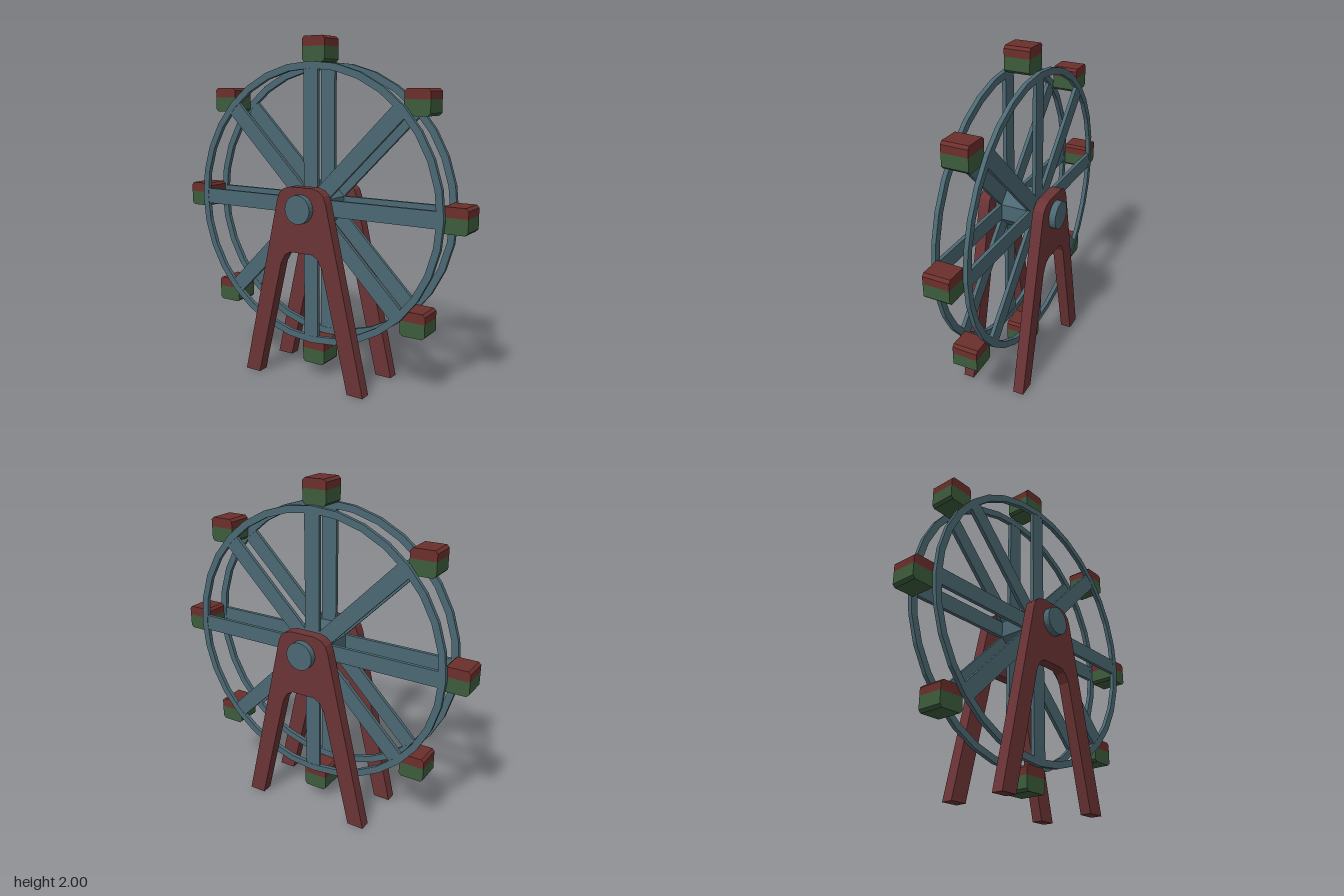
import * as THREE from 'three';

const HUB_Y = 1.038;
const mat = (color) => new THREE.MeshStandardMaterial({ color, flatShading: true });

// Extrudes a (z, y) outline along x, centred on x = 0
function slab(shape, width) {
  const g = new THREE.ExtrudeGeometry(shape, { depth: width, bevelEnabled: false, curveSegments: 16 });
  g.translate(0, 0, -width / 2);
  g.rotateY(-Math.PI / 2);
  return g;
}

// Closed shape from half an outline, mirrored about the vertical axis
function mirrored(half) {
  const other = half.map(([z, y]) => [-z, y]).reverse();
  return new THREE.Shape([...half, ...other].map(([z, y]) => new THREE.Vector2(z, y)));
}

export function createModel() {
  const steel = mat(0x4b6872), red = mat(0x6b3436), roofRed = mat(0x6b2f2b), green = mat(0x3c5c3c);
  const model = new THREE.Group();
  model.name = 'ferrisWheel';
  model.rotation.y = 0.153;

  const add = (parent, name, geometry, material, x = 0, y = 0, z = 0) => {
    const mesh = new THREE.Mesh(geometry, material);
    mesh.name = name;
    mesh.position.set(x, y, z);
    parent.add(mesh);
    return mesh;
  };

  // Rims and spokes, one set on each side
  const rimShape = new THREE.Shape().absarc(0, 0, 0.822, 0, Math.PI * 2, false);
  rimShape.holes.push(new THREE.Path().absarc(0, 0, 0.782, 0, Math.PI * 2, true));
  const rimGeo = slab(rimShape, 0.025);
  const spokeGeo = new THREE.BoxGeometry(0.022, 1.58, 0.094);
  for (const side of [-1, 1]) {
    const wheel = new THREE.Group();
    wheel.name = side > 0 ? 'leftWheel' : 'rightWheel';
    wheel.position.set(side * 0.091, HUB_Y, 0);
    add(wheel, 'rim', rimGeo, steel);
    for (let i = 0; i < 4; i++) {
      add(wheel, 'spokePair', spokeGeo, steel).rotation.x = (i * Math.PI) / 4;
    }
    model.add(wheel);
  }

  // Hub between the rims, and the axle through the supports
  const hubGeo = new THREE.CylinderGeometry(0.124, 0.124, 0.18, 8);
  hubGeo.rotateY(Math.PI / 8);
  hubGeo.rotateZ(Math.PI / 2);
  add(model, 'hub', hubGeo, steel, 0, HUB_Y);
  const axleGeo = new THREE.CylinderGeometry(0.083, 0.083, 0.484, 24);
  axleGeo.rotateZ(Math.PI / 2);
  add(model, 'axle', axleGeo, steel, 0, HUB_Y);

  // A-shaped supports
  const supportGeo = slab(mirrored([
    [0.075, 0.78], [0.11, 0.76], [0.14, 0.71], [0.31, 0], [0.412, 0],
    [0.165, 1.08], [0.15, 1.12], [0.12, 1.147], [0.075, 1.16],
  ]), 0.066);
  for (const side of [-1, 1]) {
    add(model, side > 0 ? 'leftSupport' : 'rightSupport', supportGeo, red, side * 0.17);
  }

  // Upright cabins with chamfered ends and a red roof
  const bodyGeo = slab(mirrored([[0.06, -0.072], [0.075, -0.057], [0.075, 0.015]]), 0.15);
  const roofGeo = slab(mirrored([[0.075, 0.015], [0.075, 0.057], [0.06, 0.072]]), 0.15);
  for (let i = 0; i < 8; i++) {
    const a = (i * Math.PI) / 4;
    const reach = i % 2 ? [0.912, 0.85] : [0.869, 0.89];
    const cabin = new THREE.Group();
    cabin.name = 'cabin';
    cabin.position.set(0, HUB_Y + Math.sin(a) * reach[1], Math.cos(a) * reach[0]);
    add(cabin, 'cabinBody', bodyGeo, green);
    add(cabin, 'cabinRoof', roofGeo, roofRed);
    model.add(cabin);
  }

  const root = new THREE.Group();
  root.name = 'model';
  root.add(model);
  return root;
}
